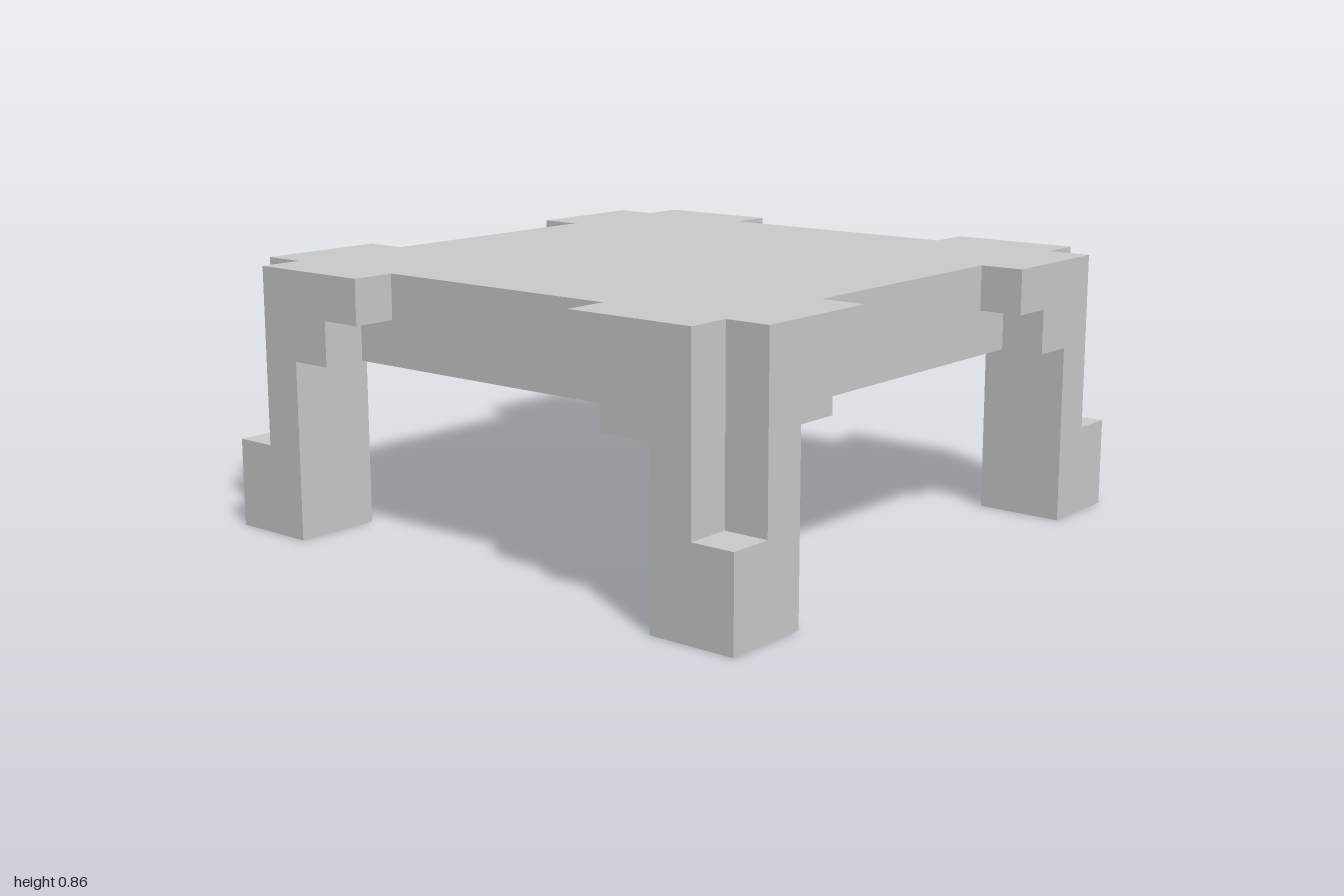
import * as THREE from 'three';

const U = 1 / 7; // block unit: the table is 14 x 6 x 14 units
const material = new THREE.MeshStandardMaterial({ color: 0xcccccc, flatShading: true });

function addMesh(parent, name, geometry) {
  const mesh = new THREE.Mesh(geometry, material);
  mesh.name = name;
  parent.add(mesh);
  return mesh;
}

// Box given by its minimum and maximum corners
function block([x0, y0, z0], [x1, y1, z1]) {
  return new THREE.BoxGeometry(x1 - x0, y1 - y0, z1 - z0)
    .translate((x0 + x1) / 2, (y0 + y1) / 2, (z0 + z1) / 2);
}

// Stepped bracket running down into the leg, one unit thick
function bracketGeometry(z) {
  const outline = [[3, 6], [3, 5], [4, 5], [4, 4], [5, 4], [5, 2], [6, 2], [6, 6]];
  const shape = new THREE.Shape(outline.map(([x, y]) => new THREE.Vector2(x, y)));
  return new THREE.ExtrudeGeometry(shape, { depth: 1, bevelEnabled: false }).translate(0, 0, z);
}

// Corner leg: square foot, inner post and two brackets leaving a notched outer edge
function createLeg() {
  const leg = new THREE.Group();
  addMesh(leg, 'foot', block([5, 0, 5], [7, 2, 7]));
  addMesh(leg, 'legPost', block([5, 2, 5], [6, 4, 6]));
  addMesh(leg, 'frontBracket', bracketGeometry(6));
  addMesh(leg, 'sideBracket', bracketGeometry(-7).rotateY(-Math.PI / 2));
  return leg;
}

export function createModel() {
  const table = new THREE.Group();
  table.name = 'table';
  addMesh(table, 'tableTop', block([-6, 4, -6], [6, 6, 6]));

  // Four identical corners, a quarter turn apart
  const names = ['frontLeftLeg', 'backLeftLeg', 'backRightLeg', 'frontRightLeg'];
  names.forEach((name, i) => {
    const leg = createLeg();
    leg.name = name;
    leg.rotation.y = i * Math.PI / 2;
    table.add(leg);
  });

  table.scale.setScalar(U);
  const model = new THREE.Group();
  model.add(table);
  return model;
}
